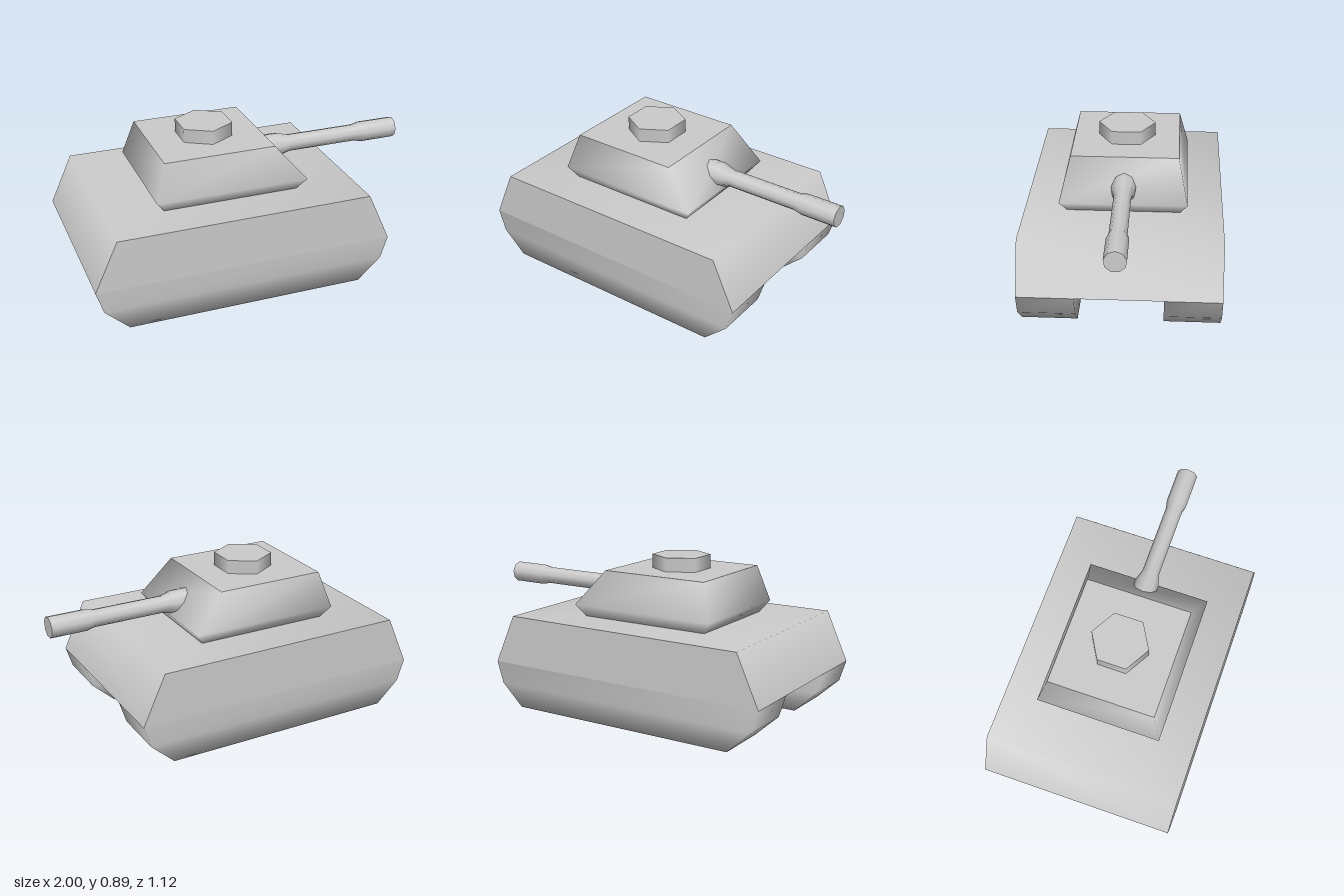
import * as THREE from 'three';

const material = new THREE.MeshStandardMaterial({ color: 0xcccccc, side: THREE.DoubleSide });

function add(parent, name, geometry, x = 0, y = 0, z = 0) {
  const mesh = new THREE.Mesh(geometry, material);
  mesh.name = name;
  mesh.position.set(x, y, z);
  parent.add(mesh);
  return mesh;
}

// Smooth skin over stacked rectangles, each [y, x0, x1, z0, z1], lowest first
function loft(rows, closeBottom) {
  const positions = [], index = [];
  for (const [y, x0, x1, z0, z1] of rows) {
    positions.push(x0, y, z1, x1, y, z1, x1, y, z0, x0, y, z0);
  }
  for (let r = 0; r < rows.length - 1; r++) {
    for (let i = 0; i < 4; i++) {
      const a = r * 4 + i, b = r * 4 + (i + 1) % 4;
      index.push(a, b, b + 4, a, b + 4, a + 4);
    }
  }
  if (closeBottom) index.push(0, 3, 2, 0, 2, 1);
  const geometry = new THREE.BufferGeometry();
  geometry.setAttribute('position', new THREE.Float32BufferAttribute(positions, 3));
  geometry.setIndex(index);
  geometry.computeVertexNormals();
  return geometry;
}

export function createModel() {
  const model = new THREE.Group();
  model.name = 'tank';

  // Hull: sloped deck, flat sides and belly
  const hull = new THREE.Group();
  hull.name = 'hull';
  model.add(hull);
  const halfWidth = 0.56;
  const profile = [[-1, 0.26], [-0.87, 0.545], [0.58, 0.545], [0.71, 0.26]];
  const deck = new THREE.PlaneGeometry(1, 2 * halfWidth, 3, 1).rotateX(-Math.PI / 2);
  const p = deck.attributes.position;
  for (let i = 0; i < p.count; i++) {
    const [x, y] = profile[i % 4];
    p.setXYZ(i, x, y, p.getZ(i));
  }
  deck.computeVertexNormals();
  add(hull, 'deck', deck);
  const side = new THREE.Shape(profile.map(([x, y]) => new THREE.Vector2(x, y)));
  add(hull, 'leftSide', new THREE.ShapeGeometry(side), 0, 0, halfWidth);
  const back = new THREE.ShapeGeometry(side).rotateY(Math.PI).scale(-1, 1, 1);
  // Turned outward by reversing its corners and normals
  back.index.array.reverse();
  back.computeVertexNormals();
  add(hull, 'rightSide', back, 0, 0, -halfWidth);
  add(hull, 'belly', new THREE.PlaneGeometry(1.71, 2 * halfWidth).rotateX(Math.PI / 2), -0.145, 0.26, 0);

  // Tracks: rounded runs under each side of the hull
  for (const [name, z0, z1] of [['leftTrack', 0.243, halfWidth], ['rightTrack', -halfWidth, -0.243]]) {
    add(model, name, loft([
      [0.01, -0.825, 0.535, z0, z1],
      [0.135, -0.96, 0.67, z0, z1],
      [0.26, -1, 0.71, z0, z1],
    ], true));
  }

  // Turret with a flat roof and a hexagonal hatch
  const turret = new THREE.Group();
  turret.name = 'turret';
  model.add(turret);
  add(turret, 'turretWalls', loft([
    [0.545, -0.545, 0.235, -0.32, 0.32],
    [0.612, -0.593, 0.285, -0.36, 0.36],
    [0.82, -0.53, 0.107, -0.307, 0.307],
  ], false));
  add(turret, 'turretRoof', new THREE.PlaneGeometry(0.637, 0.614).rotateX(-Math.PI / 2), -0.2115, 0.82, 0);
  add(turret, 'hatch', new THREE.CylinderGeometry(0.165, 0.165, 0.08, 6), -0.205, 0.859, 0);

  // Gun: nine-sided barrel with a thick root and muzzle
  const gunProfile = [[0.07, 0.1], [0.07, 0.25], [0.05, 0.32], [0.05, 0.74], [0.061, 0.79], [0.061, 1]]
    .map(([r, x]) => new THREE.Vector2(r, x));
  const barrel = new THREE.LatheGeometry(gunProfile, 9, -Math.PI / 2).rotateZ(-Math.PI / 2);
  add(turret, 'barrel', barrel, 0, 0.68, 0);
  const cap = new THREE.CircleGeometry(0.061, 9).rotateZ(Math.PI / 2).rotateY(Math.PI / 2);
  add(turret, 'muzzleFace', cap, 1, 0.68, 0);

  return model;
}
